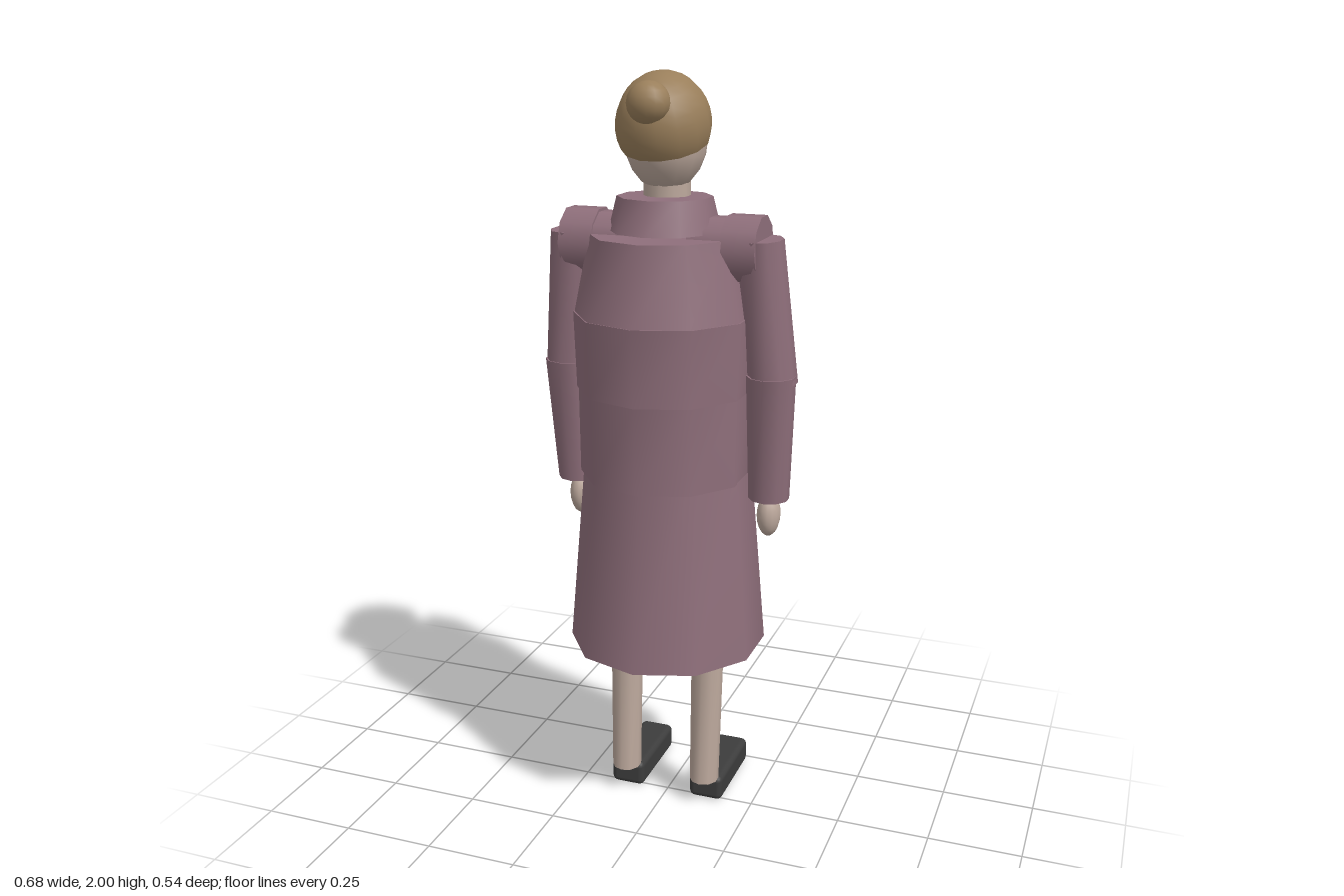
import * as THREE from 'three';
import { mergeVertices, toCreasedNormals } from 'three/addons/utils/BufferGeometryUtils.js';
import { RoundedBoxGeometry } from 'three/addons/geometries/RoundedBoxGeometry.js';

const material = (name, color) => {
  const m = new THREE.MeshStandardMaterial({ color });
  m.name = name;
  return m;
};

export function createModel() {
  const model = new THREE.Group();
  model.name = 'standingFigure';
  const coat = material('mauve coat', 0x8f6f7b);
  const skin = material('skin', 0xbda99d);
  const hair = material('light brown hair', 0x9a7f5b);
  const shoe = material('charcoal shoes', 0x3d3d3d);
  const tag = material('off white', 0xcfcec4);
  const dark = material('dark eyes', 0x2b2324);

  const add = (name, geometry, mat, x = 0, y = 0, z = 0) => {
    const mesh = new THREE.Mesh(geometry, mat);
    mesh.name = name;
    mesh.position.set(x, y, z);
    model.add(mesh);
    return mesh;
  };

  // Closed frustum between two horizontal ellipses [x, y, z, rx, rz]
  const frustum = (name, lower, upper, mat, sides = 10) => {
    let g = new THREE.CylinderGeometry(1, 1, 1, sides, 1);
    const p = g.attributes.position;
    for (let i = 0; i < p.count; i++) {
      const [x, y, z, rx, rz] = p.getY(i) > 0 ? upper : lower;
      p.setXYZ(i, x + p.getX(i) * rx, y, z + p.getZ(i) * rz);
    }
    g.deleteAttribute('uv');
    g.deleteAttribute('normal');
    g = toCreasedNormals(mergeVertices(g), 0.9);
    return add(name, g, mat);
  };

  const ellipsoid = (name, mat, x, y, z, rx, ry, rz) =>
    add(name, new THREE.SphereGeometry(1, 14, 10).scale(rx, ry, rz), mat, x, y, z);

  // Coat: flared skirt, three padded bands, collar
  frustum('coatSkirt', [0, 0.485, 0, 0.266, 0.268], [0, 1.01, 0, 0.222, 0.213], coat);
  frustum('lowerBand', [0, 0.97, 0.02, 0.225, 0.22], [0, 1.2, 0.022, 0.226, 0.224], coat);
  frustum('middleBand', [0, 1.2, 0.022, 0.23, 0.228], [0, 1.4, 0.023, 0.236, 0.236], coat);
  frustum('upperBand', [0, 1.4, 0.023, 0.232, 0.234], [0, 1.6, 0.028, 0.19, 0.19], coat);
  frustum('collar', [0, 1.61, 0.022, 0.142, 0.147], [0, 1.695, 0.022, 0.122, 0.118], coat);
  add('chestTag', new THREE.BoxGeometry(0.125, 0.13, 0.02), tag, 0, 1.543, -0.175);

  // Head
  frustum('neck', [0, 1.6, 0.005, 0.06, 0.06], [0, 1.76, 0.005, 0.06, 0.06], skin);
  ellipsoid('head', skin, 0, 1.835, 0.013, 0.105, 0.13, 0.105);
  const cap = new THREE.SphereGeometry(1, 14, 10, 0, Math.PI * 2, 0, Math.PI * 0.62);
  const capMat = hair;
  capMat.side = THREE.DoubleSide;
  add('hairCap', cap.rotateX(0.3).scale(0.119, 0.13, 0.127), capMat, 0, 1.87, 0.031);
  ellipsoid('hairBun', hair, 0, 1.927, 0.135, 0.055, 0.053, 0.05);
  ellipsoid('nose', skin, 0, 1.825, -0.1, 0.014, 0.02, 0.017);
  add('mouth', new THREE.BoxGeometry(0.04, 0.007, 0.008), dark, 0, 1.773, -0.08);

  for (const s of [1, -1]) {
    const side = s > 0 ? 'left' : 'right';

    // Face details
    ellipsoid(side + 'Eye', dark, s * 0.038, 1.834, -0.085, 0.012, 0.012, 0.008);
    const brow = add(side + 'Brow', new THREE.BoxGeometry(0.045, 0.01, 0.012), hair, s * 0.038, 1.858, -0.09);
    brow.rotation.z = s * -0.12;

    // Shoulder yoke laid along x
    for (const [part, r, x0, x1] of [['InnerYoke', 0.078, 0.08, 0.18], ['Shoulder', 0.085, 0.17, 0.26]]) {
      const g = new THREE.CylinderGeometry(r, r, x1 - x0, 10).rotateX(Math.PI / 2).rotateY(Math.PI / 2);
      g.rotateX(Math.PI / 2);
      add(side + part, g, coat, s * (x0 + x1) / 2, 1.66 - 0.085, 0.02);
    }

    // Sleeves and hand
    frustum(side + 'UpperSleeve', [s * 0.282, 1.23, -0.012, 0.063, 0.073],
      [s * 0.25, 1.6, 0.02, 0.058, 0.08], coat);
    frustum(side + 'LowerSleeve', [s * 0.273, 0.91, -0.028, 0.054, 0.053],
      [s * 0.28, 1.25, 0, 0.064, 0.066], coat);
    ellipsoid(side + 'Hand', skin, s * 0.27, 0.86, -0.042, 0.031, 0.06, 0.041);

    // Leg and shoe
    ellipsoid(side + 'Knee', skin, s * 0.118, 0.49, 0.005, 0.065, 0.06, 0.065);
    frustum(side + 'Shin', [s * 0.117, 0.07, 0.022, 0.04, 0.043], [s * 0.119, 0.5, 0.005, 0.044, 0.047], skin);
    add(side + 'Shoe', new RoundedBoxGeometry(0.096, 0.072, 0.256, 2, 0.016), shoe, s * 0.118, 0.036, -0.108);
  }
  return model;
}
